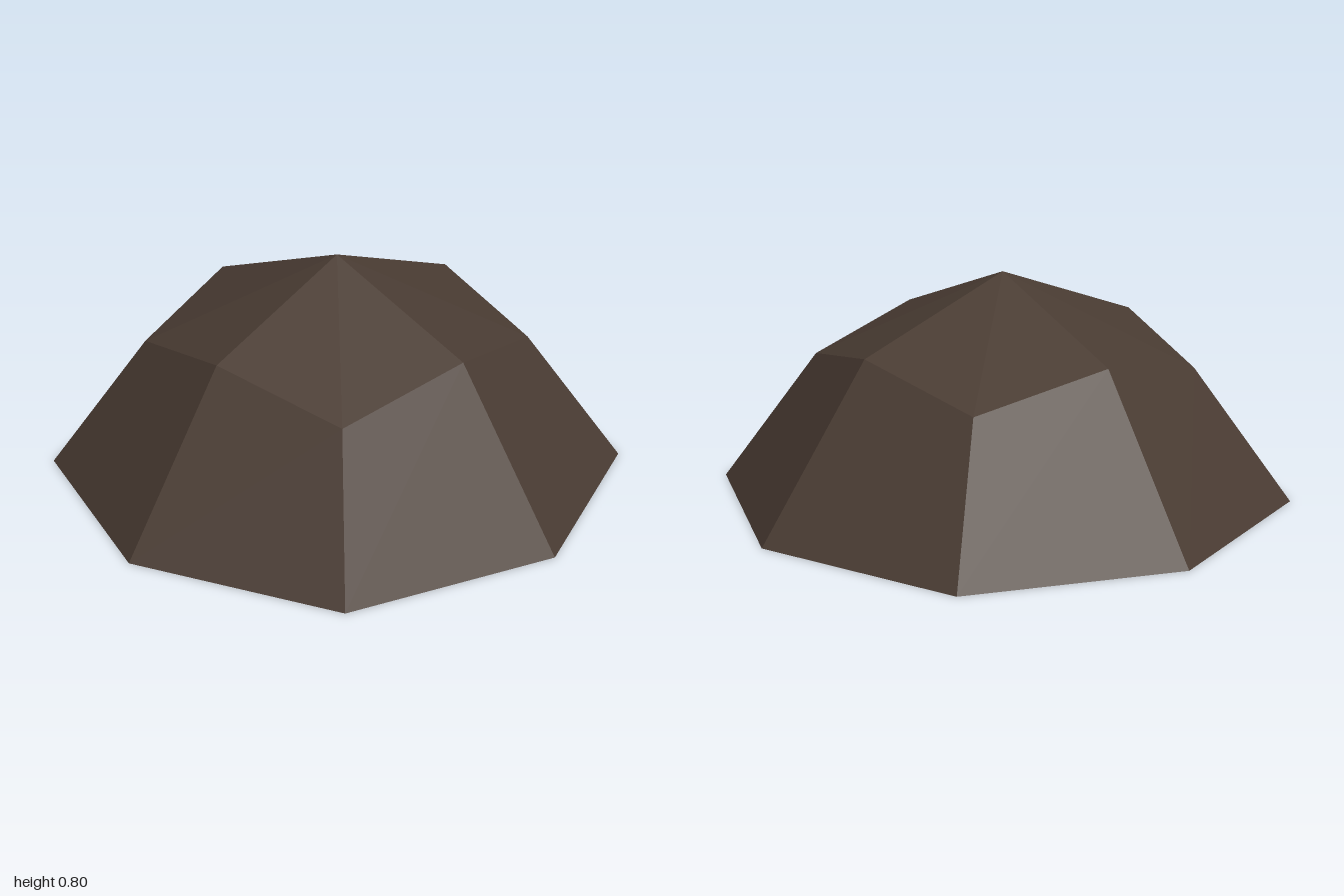
import * as THREE from 'three';

// Eight-sided faceted dome shell, open underneath
export function createModel() {
  const group = new THREE.Group();
  group.name = 'domeShell';

  const darkBrown = new THREE.MeshStandardMaterial({ color: 0x4a3c33, flatShading: true, side: THREE.DoubleSide });
  darkBrown.name = 'darkBrown';

  const SIDES = 8;
  // Even corners lie on the axes, odd ones on the diagonals
  const ring = (axis, diagonal) => Array.from({ length: SIDES }, (_, i) => {
    const [r, y] = i % 2 ? diagonal : axis;
    const a = (i / SIDES) * Math.PI * 2;
    return [r * Math.sin(a), y, r * Math.cos(a)];
  });

  const rim = ring([1, 0], [0.725 * Math.SQRT2, 0]);
  const shoulder = ring([0.58, 0.58], [0.477 * Math.SQRT2, 0.477]);
  const apex = [0, 0.8, 0];

  const addPart = (name, triangles) => {
    const geometry = new THREE.BufferGeometry();
    geometry.setAttribute('position', new THREE.Float32BufferAttribute(triangles.flat(), 3));
    geometry.computeVertexNormals();
    const mesh = new THREE.Mesh(geometry, darkBrown);
    mesh.name = name;
    group.add(mesh);
  };

  const wall = [];
  const cap = [];
  for (let i = 0; i < SIDES; i++) {
    const j = (i + 1) % SIDES;
    wall.push(rim[i], rim[j], shoulder[j], rim[i], shoulder[j], shoulder[i]);
    cap.push(apex, shoulder[i], shoulder[j]);
  }
  addPart('slopingWall', wall);
  addPart('cap', cap);

  return group;
}
